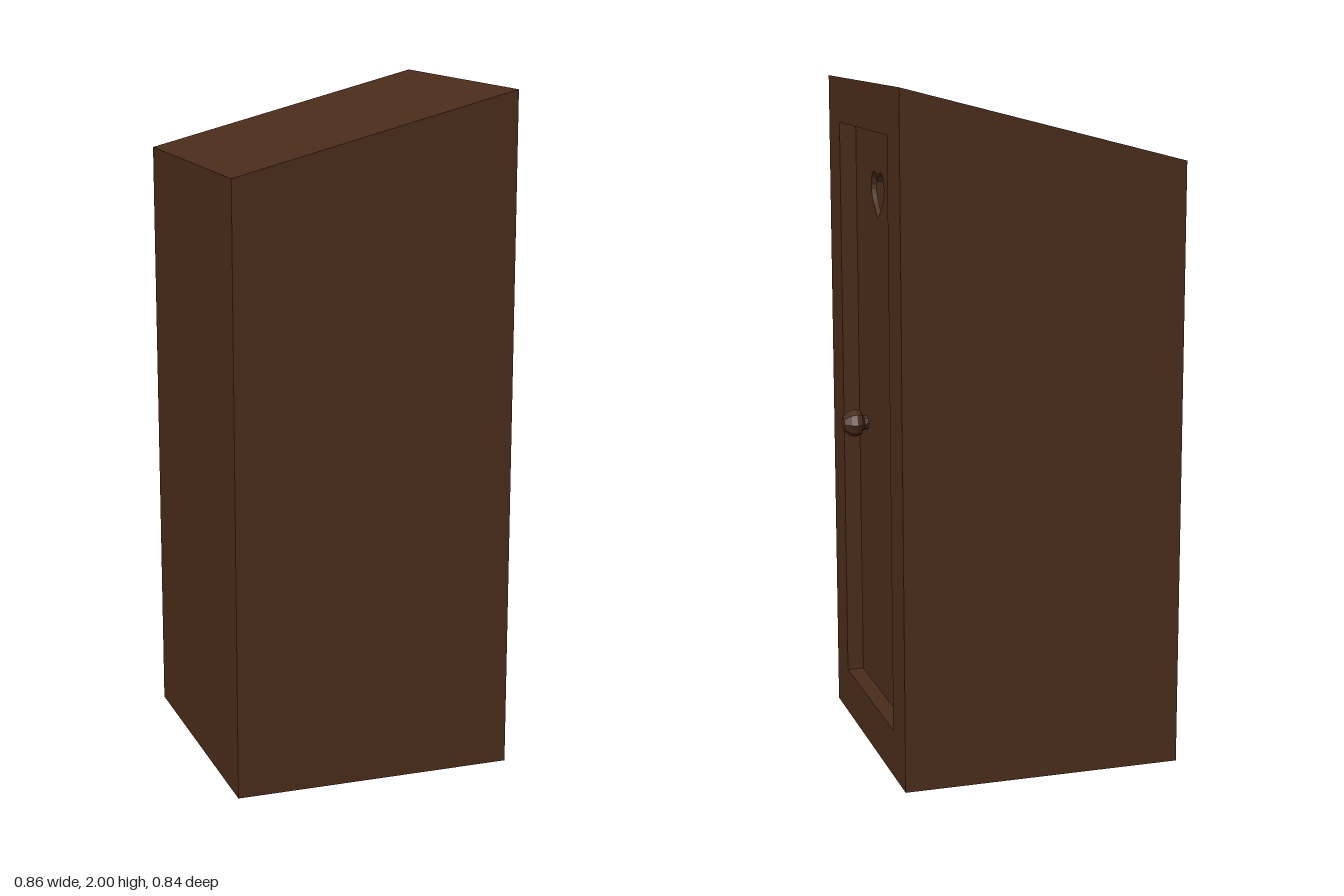
import * as THREE from 'three';

const wood = new THREE.MeshStandardMaterial({ color: 0x4a2c1a, flatShading: true });

// Overall extents: the door is on the +x side, the roof slopes down to -x
const BACK = -0.43, FRONT = 0.405, HALF = 0.42, WALL = 0.05;
const TOP = 2, SLOPE = 0.215 / 0.835;
const INNER = FRONT - WALL;
const roofY = (x) => TOP - (FRONT - x) * SLOPE;

function polygon(points) {
  return new THREE.Shape(points.map(([x, y]) => new THREE.Vector2(x, y)));
}

function extrude(shape, depth) {
  return new THREE.ExtrudeGeometry(shape, { depth, bevelEnabled: false, curveSegments: 8 });
}

// Panel drawn in the (-z, y) plane, thickened along +x from the given x
function doorSidePanel(shape, depth, x) {
  return extrude(shape, depth).rotateY(Math.PI / 2).translate(x, 0, 0);
}

function rectangle(w, y0, y1) {
  return [[-w, y0], [w, y0], [w, y1], [-w, y1]];
}

function heartPath(cx, cy) {
  const p = new THREE.Path();
  p.moveTo(cx, cy - 0.068);
  p.bezierCurveTo(cx + 0.03, cy - 0.04, cx + 0.074, cy - 0.015, cx + 0.074, cy + 0.025);
  p.bezierCurveTo(cx + 0.074, cy + 0.08, cx + 0.012, cy + 0.082, cx, cy + 0.04);
  p.bezierCurveTo(cx - 0.012, cy + 0.082, cx - 0.074, cy + 0.08, cx - 0.074, cy + 0.025);
  p.bezierCurveTo(cx - 0.074, cy - 0.015, cx - 0.03, cy - 0.04, cx, cy - 0.068);
  return p;
}

export function createModel() {
  const group = new THREE.Group();
  const add = (name, geometry) => {
    const mesh = new THREE.Mesh(geometry, wood);
    mesh.name = name;
    group.add(mesh);
    return mesh;
  };

  // Side walls following the roof slope
  const side = polygon([[BACK, 0], [INNER, 0], [INNER, roofY(INNER)], [BACK, roofY(BACK)]]);
  for (const [name, z] of [['leftWall', HALF - WALL], ['rightWall', -HALF]]) {
    add(name, extrude(side, WALL).translate(0, 0, z));
  }

  // Floor, back wall and sloped roof as one C-shaped section
  const bx = BACK + WALL;
  const shell = polygon([
    [BACK, 0], [INNER, 0], [INNER, WALL], [bx, WALL],
    [bx, roofY(bx) - WALL], [INNER, roofY(INNER) - WALL],
    [INNER, roofY(INNER)], [BACK, roofY(BACK)],
  ]);
  add('floorBackAndRoof', extrude(shell, 2 * (HALF - WALL)).translate(0, 0, WALL - HALF));

  // Door frame, its top edge lowered to follow the roof
  const frame = polygon(rectangle(HALF, 0, TOP));
  frame.holes.push(new THREE.Path(polygon(rectangle(0.285, 0.14, 1.865)).getPoints()));
  const frameGeo = doorSidePanel(frame, WALL, INNER);
  const pos = frameGeo.attributes.position;
  for (let i = 0; i < pos.count; i++) {
    if (pos.getY(i) > 1.99) pos.setY(i, roofY(pos.getX(i)));
  }
  frameGeo.computeVertexNormals();
  add('doorFrame', frameGeo);

  // Recessed door with a heart-shaped opening
  const door = polygon(rectangle(0.3, 0.125, 1.88));
  door.holes.push(heartPath(-0.025, 1.668));
  add('door', doorSidePanel(door, 0.015, INNER - 0.015));

  // Faceted round knob
  const profile = [[0, 0], [0.022, 0], [0.022, 0.012], [0.038, 0.022], [0.043, 0.038],
    [0.038, 0.055], [0.022, 0.075], [0, 0.075]];
  const knob = new THREE.LatheGeometry(profile.map(([r, y]) => new THREE.Vector2(r, y)), 8);
  add('doorKnob', knob.rotateZ(-Math.PI / 2).translate(INNER, 0.96, 0.19));

  return group;
}
